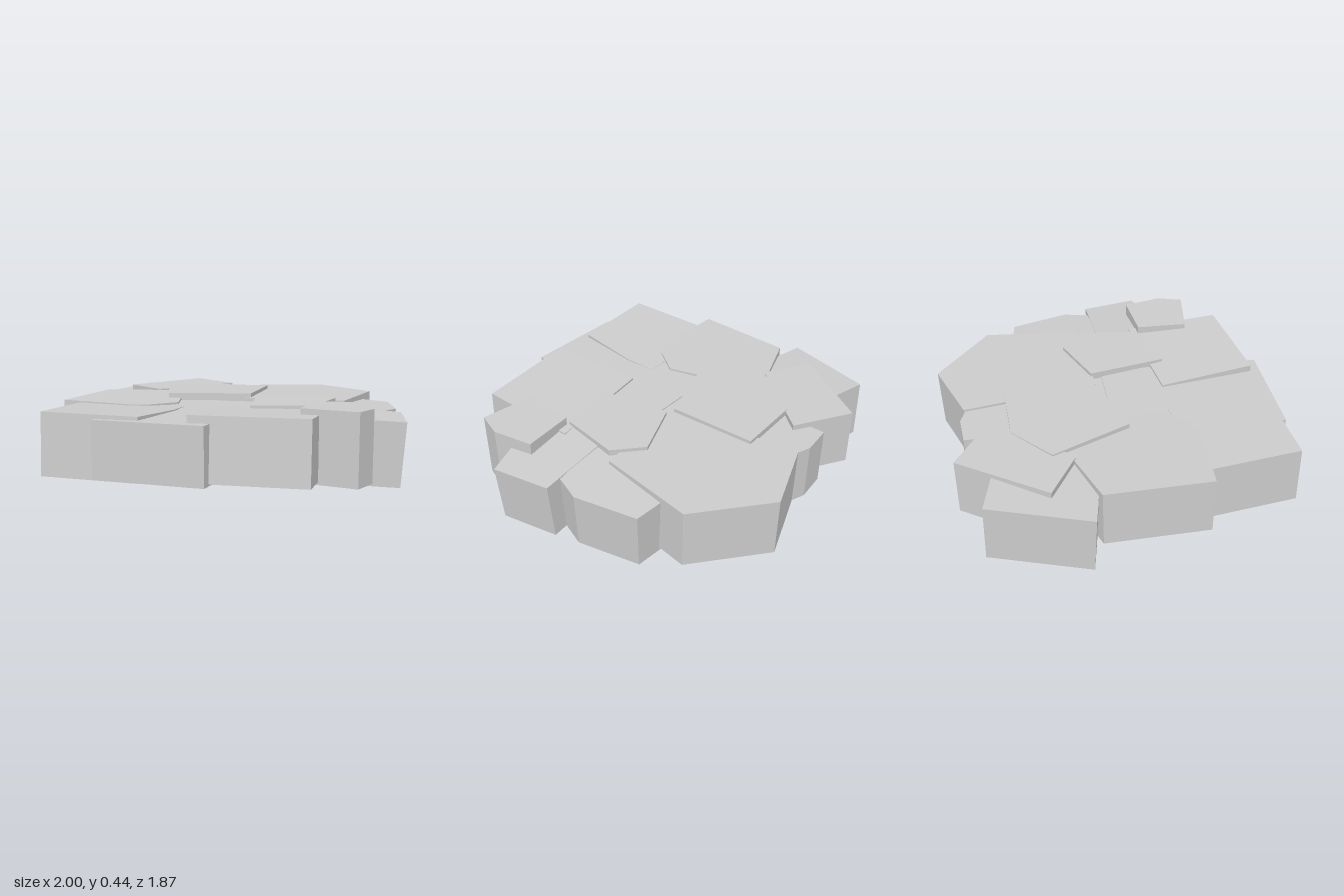
import * as THREE from 'three';

const material = new THREE.MeshStandardMaterial({ color: 0xcccccc, flatShading: true });

// One stone slab: top outline in x,z, mean top height, slope of the top in x and z, thickness.
// The underside is the top moved along the slab's tilted normal.
function slab(name, outline, height, slopeX, slopeZ, thickness = 0.335) {
  const cx = outline.reduce((s, p) => s + p[0], 0) / outline.length;
  const cz = outline.reduce((s, p) => s + p[1], 0) / outline.length;
  const shape = new THREE.Shape(outline.map(([x, z]) => new THREE.Vector2(x, -z)));
  const geometry = new THREE.ExtrudeGeometry(shape, { depth: 1, bevelEnabled: false });
  geometry.rotateX(-Math.PI / 2);

  const normal = new THREE.Vector3(-slopeX, 1, -slopeZ).normalize();
  const pos = geometry.attributes.position;
  const v = new THREE.Vector3();
  for (let i = 0; i < pos.count; i++) {
    v.fromBufferAttribute(pos, i);
    const isBottom = v.y < 0.5;
    v.y = height + slopeX * (v.x - cx) + slopeZ * (v.z - cz);
    if (isBottom) v.addScaledVector(normal, -thickness);
    pos.setXYZ(i, v.x, v.y, v.z);
  }
  geometry.computeVertexNormals();
  const mesh = new THREE.Mesh(geometry, material);
  mesh.name = name;
  return mesh;
}

export function createModel() {
  const group = new THREE.Group();
  group.name = 'stoneSlabPlatform';

  group.add(
    // Back row
    slab('backLeftSlab', [[0, -0.83], [0.4, -0.94], [0.75, -0.6], [0.64, -0.06], [0.05, -0.06]], 0.386, 0, 0.015, 0.35),
    slab('backSmallSlab', [[-0.25, -0.86], [-0.08, -0.86], [0.05, -0.8], [0.1, -0.45], [-0.28, -0.45]], 0.37, 0, 0),
    slab('backRightUpperSlab', [[-0.46, -0.93], [-0.17, -0.71], [-0.55, -0.32], [-0.57, -0.32], [-0.8, -0.49]], 0.4, 0, -0.01),
    slab('backRightLowerSlab', [[-0.8, -0.83], [-0.36, -0.68], [-0.53, -0.17], [-1, -0.31]], 0.368, 0.03, -0.03, 0.345),

    // Middle
    slab('centreUpperSlab', [[-0.29, -0.61], [0.09, -0.59], [0.085, -0.09], [-0.39, 0.02], [-0.53, -0.43]], 0.41, 0, 0.02),
    slab('centreCoreSlab', [[-0.5, -0.05], [0.2, -0.11], [0.21, 0.43], [-0.45, 0.53]], 0.37, 0, 0),
    slab('centreLeftSlab', [[0.13, -0.07], [0.45, -0.17], [0.59, -0.02], [0.51, 0.32], [0.175, 0.38]], 0.412, 0, 0),
    slab('rightSideSlab', [[-0.87, -0.25], [-0.5, -0.35], [-0.32, 0], [-0.28, 0.19], [-0.4, 0.34], [-0.5, 0.38], [-0.92, 0.32]], 0.393, -0.015, 0.01),

    // Left side
    slab('leftSideBackSlab', [[0.6, -0.46], [0.73, -0.44], [0.87, -0.41], [0.93, -0.06], [0.87, 0.08], [0.5, 0.1], [0.4, -0.4]], 0.362, -0.06, 0.035, 0.34),
    slab('leftSideFrontSlab', [[0.5, 0.07], [0.96, 0.09], [1, 0.42], [0.83, 0.46], [0.44, 0.57]], 0.373, -0.07, 0, 0.345),

    // Front row
    slab('frontRightSlab', [[-0.82, 0.25], [-0.22, 0.28], [-0.22, 0.46], [-0.295, 0.845], [-0.82, 0.825]], 0.394, -0.015, 0.04),
    slab('frontMiddleSlab', [[-0.35, -0.05], [0.2, 0], [0.065, 0.93], [-0.53, 0.87]], 0.381, 0, 0.01, 0.305),
    slab('frontLeftSlab', [[-0.06, 0.31], [0.59, 0.285], [0.57, 0.85], [-0.04, 0.86]], 0.408, 0, 0.06),
    slab('frontLeftCornerSlab', [[0.52, 0.33], [0.81, 0.33], [0.84, 0.56], [0.78, 0.7], [0.48, 0.625]], 0.44, 0, 0.01, 0.38),
  );
  return group;
}
